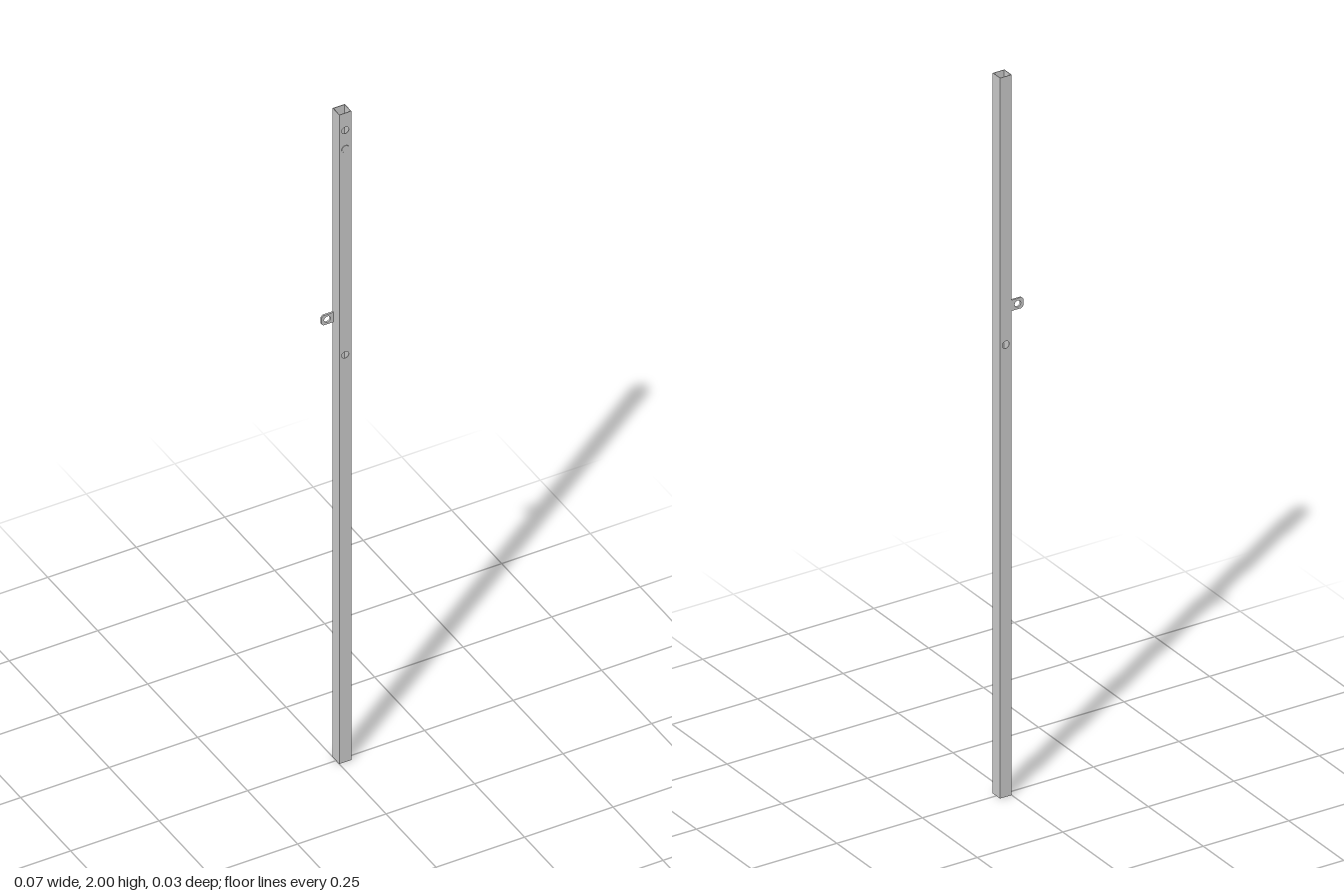
import * as THREE from 'three';

const mat = new THREE.MeshStandardMaterial({ color: 0xcccccc, flatShading: true, side: THREE.DoubleSide });

// Post extents and wall thickness
const X0 = 0, X1 = 0.034, Z0 = -0.017, Z1 = 0.016, WALL = 0.0015, TOP = 2;
const CX = (X0 + X1) / 2, CZ = (Z0 + Z1) / 2;

function add(parent, name, geometry, x = 0, y = 0, z = 0) {
  const mesh = new THREE.Mesh(geometry, mat);
  mesh.name = name;
  mesh.position.set(x, y, z);
  parent.add(mesh);
  return mesh;
}

// Flat plate in the xy plane with round holes given as [x, y, radius]
function plate(points, holes, depth) {
  const shape = new THREE.Shape(points.map(([x, y]) => new THREE.Vector2(x, y)));
  for (const [x, y, r] of holes) {
    shape.holes.push(new THREE.Path().absarc(x, y, r, 0, Math.PI * 2, true));
  }
  return new THREE.ExtrudeGeometry(shape, { depth, bevelEnabled: false, curveSegments: 16 });
}

export function createModel() {
  const model = new THREE.Group();
  model.name = 'squareTubePost';

  // Hollow square tube, open at both ends
  const tube = new THREE.Group();
  tube.name = 'tube';
  model.add(tube);
  const face = [[X0, 0], [X1, 0], [X1, TOP], [X0, TOP]];
  const through = [CX, 1.255, 0.01];
  const front = [through, [CX, 1.89, 0.0105], [CX, 1.947, 0.01]];
  add(tube, 'frontWall', plate(face, front, WALL), 0, 0, Z1 - WALL);
  add(tube, 'backWall', plate(face, [through], WALL), 0, 0, Z0);
  for (const [name, x] of [['rightWall', X0 + WALL / 2], ['leftWall', X1 - WALL / 2]]) {
    add(tube, name, new THREE.BoxGeometry(WALL, TOP, Z1 - Z0 - 2 * WALL), x, TOP / 2, CZ);
  }

  // Round plug inside the tube with a button showing through the front hole
  add(model, 'innerPlug', new THREE.CylinderGeometry(0.015, 0.015, 0.03, 24), CX, 1.89, CZ);
  const button = add(model, 'lockButton', new THREE.CylinderGeometry(0.01, 0.01, 0.01, 16), CX, 1.89, 0.012);
  button.rotation.x = Math.PI / 2;

  // Small eye tab on the side, flush with the back
  const tab = [[X0, 1.344], [X0, 1.374], [-0.029, 1.374], [-0.034, 1.369], [-0.034, 1.349], [-0.029, 1.344]];
  add(model, 'eyeTab', plate(tab, [[-0.018, 1.359, 0.009]], 0.005), 0, 0, Z0);

  return model;
}
